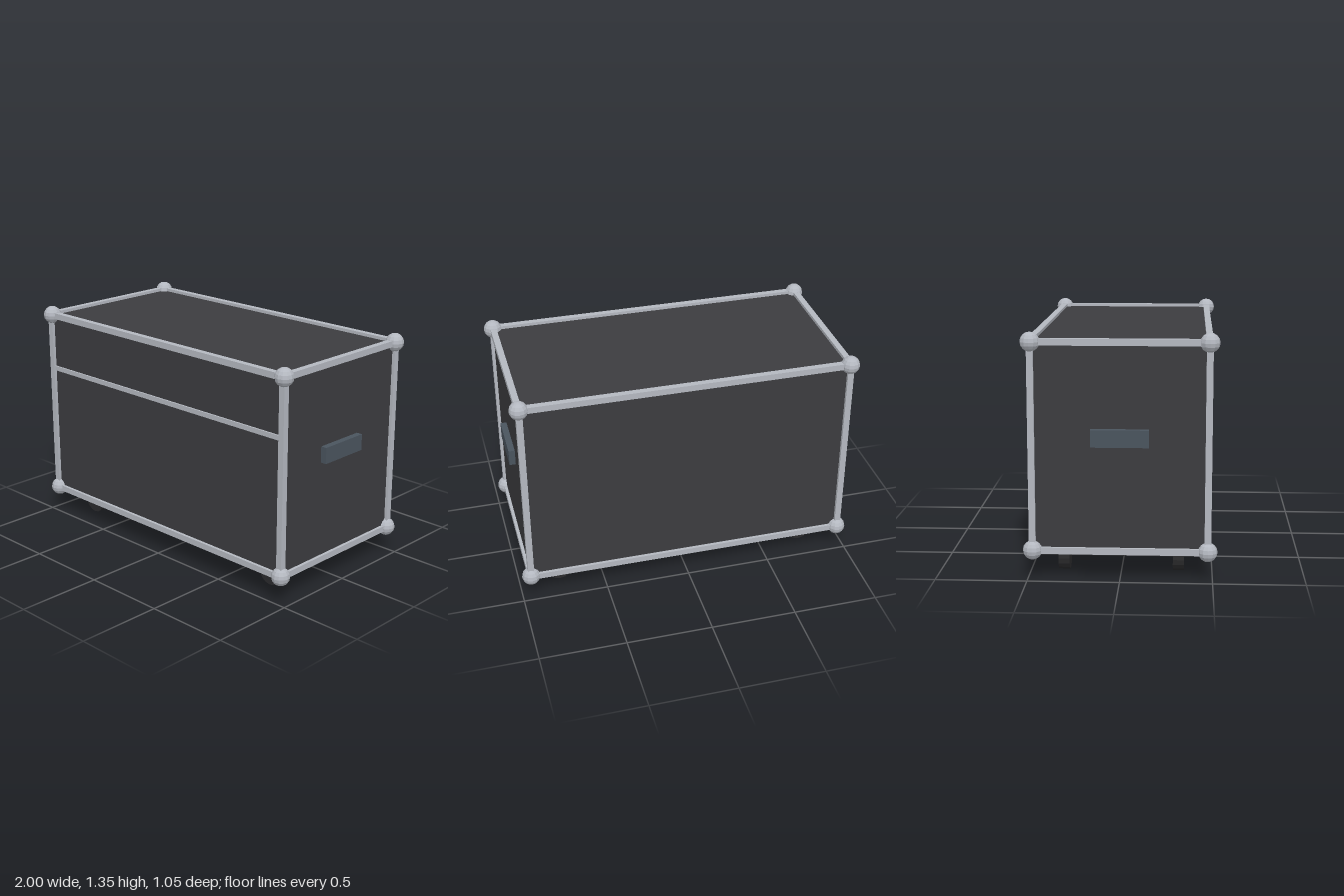
import * as THREE from 'three';

export function createModel() {
  const model = new THREE.Group();
  const shell = new THREE.MeshStandardMaterial({ color: 0x3c3c3f });
  const metal = new THREE.MeshStandardMaterial({ color: 0xb4b8c0 });
  const ballMetal = new THREE.MeshStandardMaterial({ color: 0xb4b8c0, flatShading: true });
  const grip = new THREE.MeshStandardMaterial({ color: 0x4a545e });
  const rubber = new THREE.MeshStandardMaterial({ color: 0x2a2a2c, flatShading: true });

  const X = 0.946, Z = 0.473, Y0 = 0.16, Y1 = 1.293;
  const H = Y1 - Y0, YC = (Y0 + Y1) / 2, BAR = 0.036;

  const add = (name, geometry, material, x, y, z) => {
    const mesh = new THREE.Mesh(geometry, material);
    mesh.name = name;
    mesh.position.set(x, y, z);
    model.add(mesh);
    return mesh;
  };
  const box = (w, h, d) => new THREE.BoxGeometry(w, h, d);

  // Case body
  add('caseBody', box(2 * X, H, 2 * Z), shell, 0, YC, 0);

  // Edge rails, along x, y and z
  for (const a of [-1, 1]) {
    for (const y of [Y0, Y1]) {
      add('lengthRail', box(2 * X, BAR, BAR), metal, 0, y, a * Z);
      add('depthRail', box(BAR, BAR, 2 * Z), metal, a * X, y, 0);
    }
    for (const b of [-1, 1]) add('uprightRail', box(BAR, H, BAR), metal, a * X, YC, b * Z);
  }

  // Ball corners
  const ball = new THREE.SphereGeometry(0.053, 12, 8);
  for (const x of [-X, X])
    for (const y of [Y0, Y1])
      for (const z of [-Z, Z]) add('ballCorner', ball, ballMetal, x, y, z);

  // Lid seam strip on the front
  add('lidStrip', box(2 * X, 0.028, 0.02), metal, 0, 0.956, Z);

  // Side handles
  for (const s of [-1, 1]) add('sideHandle', box(0.036, 0.094, 0.312), grip, s * 0.964, 0.783, 0);

  // Wheels, axles along z
  const wheel = new THREE.CylinderGeometry(0.077, 0.077, 0.062, 16).rotateX(Math.PI / 2);
  for (const x of [-0.756, 0.756])
    for (const z of [-0.315, 0.315]) add('wheel', wheel, rubber, x, 0.077, z);

  return model;
}
